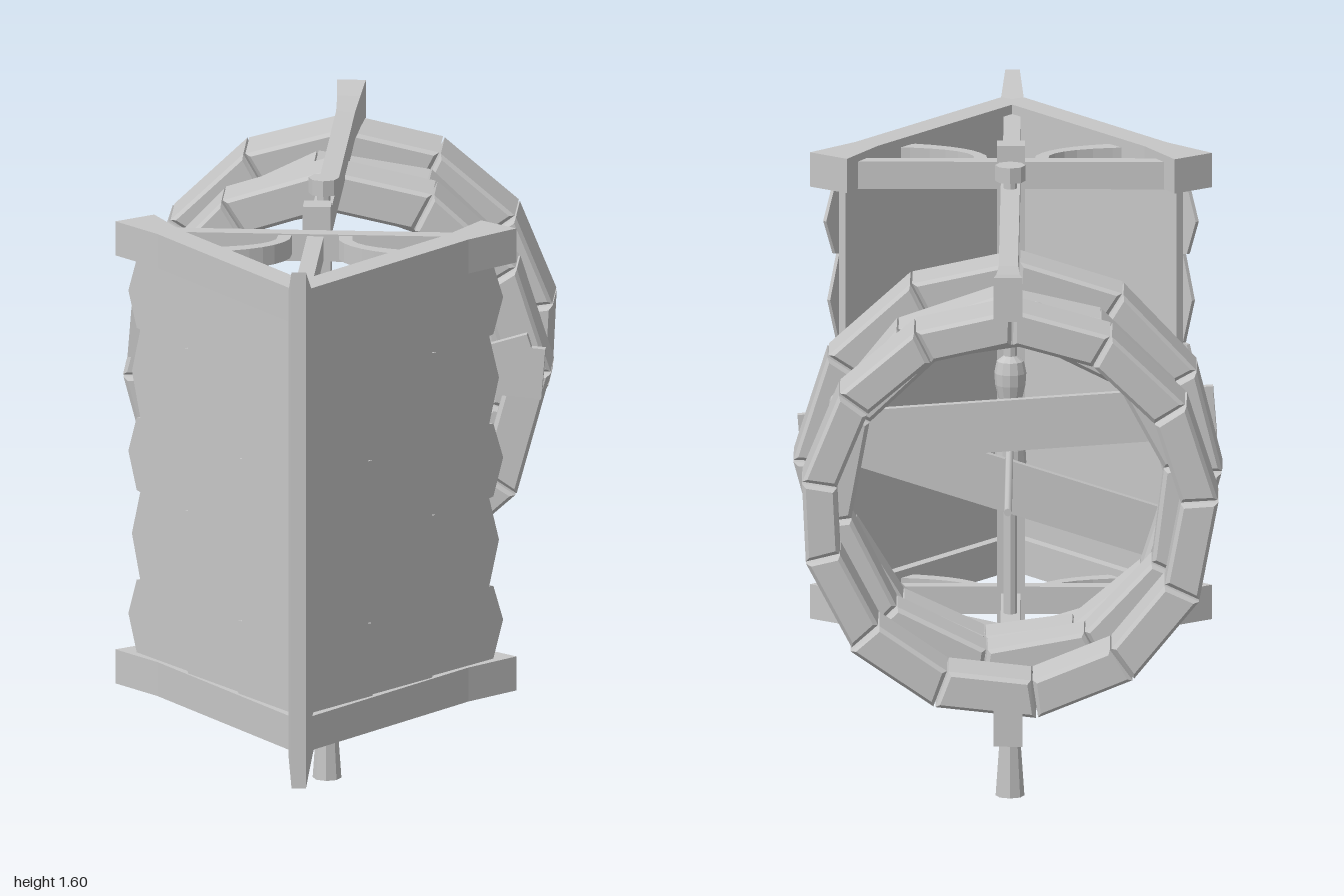
import * as THREE from 'three';

const grey = new THREE.MeshStandardMaterial({ color: 0xc6c6c6 });
grey.name = 'stone grey';

const CY = 0.943; // height of the well's axis

function add(parent, name, geometry, x = 0, y = 0, z = 0) {
  const mesh = new THREE.Mesh(geometry, grey);
  mesh.name = name;
  mesh.position.set(x, y, z);
  parent.add(mesh);
  return mesh;
}

function flat(geometry) {
  const g = geometry.index ? geometry.toNonIndexed() : geometry;
  g.computeVertexNormals();
  return g;
}

// Square timber along z; stations are [z, half width, half height], z descending
function timber(stations) {
  const n = stations.length - 1;
  const g = new THREE.BoxGeometry(2, 2, 1, 1, 1, n);
  const p = g.attributes.position;
  for (let i = 0; i < p.count; i++) {
    const [z, w, h] = stations[Math.round((0.5 - p.getZ(i)) * n)];
    p.setXYZ(i, p.getX(i) * w, p.getY(i) * h, z);
  }
  return flat(g);
}

// One course of bevelled bricks around the z axis
function brickCourse(name, { z0, z1, inner, outer, count, phase, seed }) {
  const course = new THREE.Group();
  course.name = name;
  const bevel = 0.01;
  const step = (Math.PI * 2) / count;
  const wobble = (i) => Math.sin((i % count) * 12.9 + seed * 7.3);
  const seam = (i) => phase + step * (i + 0.1 * wobble(i));
  for (let i = 0; i < count; i++) {
    const a = seam(i) + 0.005;
    const b = seam(i + 1) - 0.005;
    const r = outer + 0.005 * wobble(i + 2);
    const shape = new THREE.Shape([
      new THREE.Vector2(r * Math.cos(a), r * Math.sin(a)),
      new THREE.Vector2(r * Math.cos(b), r * Math.sin(b)),
      new THREE.Vector2(inner * Math.cos(b), inner * Math.sin(b)),
      new THREE.Vector2(inner * Math.cos(a), inner * Math.sin(a)),
    ]);
    const g = new THREE.ExtrudeGeometry(shape, {
      depth: z1 - z0 - 2 * bevel, bevelEnabled: true, bevelThickness: bevel,
      bevelSize: bevel, bevelOffset: -bevel, bevelSegments: 1,
    });
    add(course, 'brick', g, 0, 0, z0 + bevel);
  }
  course.position.y = CY;
  return course;
}

// Shingle row with a pointed lower edge; alternate shingles hang a little lower
function shingleRow(length, rowIndex) {
  const ys = [0.44, 0.63, 0.86, 1.05, 1.28, 1.46];
  const shape = new THREE.Shape();
  shape.moveTo(0, ys[0]);
  for (let i = 0; i < ys.length - 1; i++) {
    const s = length - ((i + rowIndex) % 2 ? 0.015 : 0);
    shape.lineTo(s, ys[i] + 0.001);
    shape.lineTo(s + 0.035, (ys[i] + ys[i + 1]) / 2);
    shape.lineTo(s, ys[i + 1] - 0.001);
  }
  shape.lineTo(0, ys[ys.length - 1]);
  return new THREE.ExtrudeGeometry(shape, { depth: 0.01, bevelEnabled: false });
}

function roofSide() {
  const side = new THREE.Group();
  side.name = 'roofSide';
  // Slope frame: x runs down to the eave, z points outward
  const slope = new THREE.Group();
  slope.name = 'roofSlope';
  slope.position.set(0, 0, 0.92);
  slope.rotation.y = Math.atan2(0.799, 0.601);
  add(slope, 'roofBoard', new THREE.BoxGeometry(0.7, 1.02, 0.02), 0.35, 0.95, 0);
  // Each row starts under the one above and lifts towards its lower edge
  const starts = [0.01, 0.19, 0.43];
  const ends = [0.24, 0.48, 0.7];
  starts.forEach((start, i) => {
    const row = add(slope, 'shingleRow', shingleRow(ends[i] - start, i), start, 0, 0.006);
    row.rotation.y = -0.06;
  });
  for (const y of [0.395, 1.503]) {
    const g = timber([[0, 0.035, 0.044], [-0.6, 0.035, 0.044], [-0.757, 0.058, 0.044]]);
    g.rotateY(-Math.PI / 2);
    add(slope, 'rafter', g, 0, y, 0);
  }
  side.add(slope);

  // Curved braces between tie beam and rafter
  const brace = new THREE.Shape();
  brace.moveTo(0.058, 0.36);
  brace.lineTo(0.062, 0.41);
  brace.quadraticCurveTo(0.095, 0.5, 0.24, 0.535);
  brace.lineTo(0.31, 0.5);
  brace.quadraticCurveTo(0.125, 0.485, 0.095, 0.41);
  brace.lineTo(0.092, 0.36);
  const g = new THREE.ExtrudeGeometry(brace, { depth: 0.05, bevelEnabled: false, curveSegments: 6 });
  g.rotateX(Math.PI / 2);
  for (const y of [0.42, 1.525]) add(side, 'curvedBrace', g, 0, y, 0);
  return side;
}

export function createModel() {
  const model = new THREE.Group();
  model.name = 'well';

  // Stone shaft
  const courses = [
    { z0: -0.54, z1: -0.39, inner: 0.432, outer: 0.533, count: 12, phase: 0, seed: 1 },
    { z0: -0.682, z1: -0.54, inner: 0.395, outer: 0.482, count: 11, phase: 0.35, seed: 2 },
    { z0: -0.825, z1: -0.682, inner: 0.395, outer: 0.482, count: 10, phase: 0.5, seed: 3 },
    { z0: -1, z1: -0.828, inner: 0.432, outer: 0.524, count: 13, phase: 0.19, seed: 4 },
  ];
  courses.forEach((c, i) => model.add(brickCourse('brickCourse' + (i + 1), c)));

  // Loose planks across the mouth
  for (const [y0, y1] of [[1.06, 0.98], [0.71, 1.02]]) {
    const plank = add(model, 'plank', new THREE.BoxGeometry(1.04, 0.13, 0.022), 0.005, (y0 + y1) / 2, -0.365);
    plank.rotation.set(0, -0.03, Math.atan2(y1 - y0, 1));
  }

  // Roof
  for (const s of [1, -1]) {
    const side = roofSide();
    side.scale.x = s;
    model.add(side);
  }
  add(model, 'ridgeBeam', timber([[1, 0.018, 0.668], [0.935, 0.03, 0.6], [0.87, 0.03, 0.6]]), 0, 0.936, 0);

  // Frame: tie beams, king struts, long side posts and cross post
  for (const s of [1, -1]) {
    const y = 0.948 + s * 0.545;
    add(model, 'tieBeam', new THREE.BoxGeometry(0.78, 0.07, 0.04), 0, y, 0.35);
    add(model, 'kingStrut', new THREE.BoxGeometry(0.042, 0.06, 0.56), 0, y, 0.62);
    add(model, 'sidePost', timber([
      [0.3, 0.024, 0.035], [-0.78, 0.024, 0.035], [-0.9, 0.029, 0.042], [-1, 0.036, 0.056],
    ]), 0, y, 0);
  }
  add(model, 'crossPost', new THREE.BoxGeometry(0.07, 1.28, 0.06), 0, 0.945, 0.29);

  // Winding gear
  add(model, 'axle', flat(new THREE.CylinderGeometry(0.017, 0.017, 1.3, 8)), 0, 0.925, 0.05);
  add(model, 'axleCap', flat(new THREE.CylinderGeometry(0.038, 0.038, 0.04, 8)), 0, 1.567, 0.05);
  const coil = [[0.015, 0.78], [0.034, 0.795], [0.04, 0.825], [0.038, 0.86], [0.03, 0.89], [0.036, 0.92],
    [0.036, 0.96], [0.03, 0.99], [0.038, 1.025], [0.04, 1.055], [0.034, 1.085], [0.015, 1.1]];
  const coilShape = new THREE.LatheGeometry(coil.map(([r, y]) => new THREE.Vector2(r, y)), 12);
  add(model, 'ropeCoil', flat(coilShape), 0, 0, 0.05);
  const rope = new THREE.CylinderGeometry(0.01, 0.01, 1.03, 8);
  rope.rotateX(Math.PI / 2);
  add(model, 'rope', rope, 0, CY, -0.465);
  add(model, 'crankArm', timber([[0.07, 0.03, 0.011], [-0.11, 0.05, 0.011]]), 0, 0.277, 0);
  add(model, 'crankHandle', flat(new THREE.CylinderGeometry(0.017, 0.036, 0.272, 8)), 0, 0.136, -0.073);

  return model;
}
